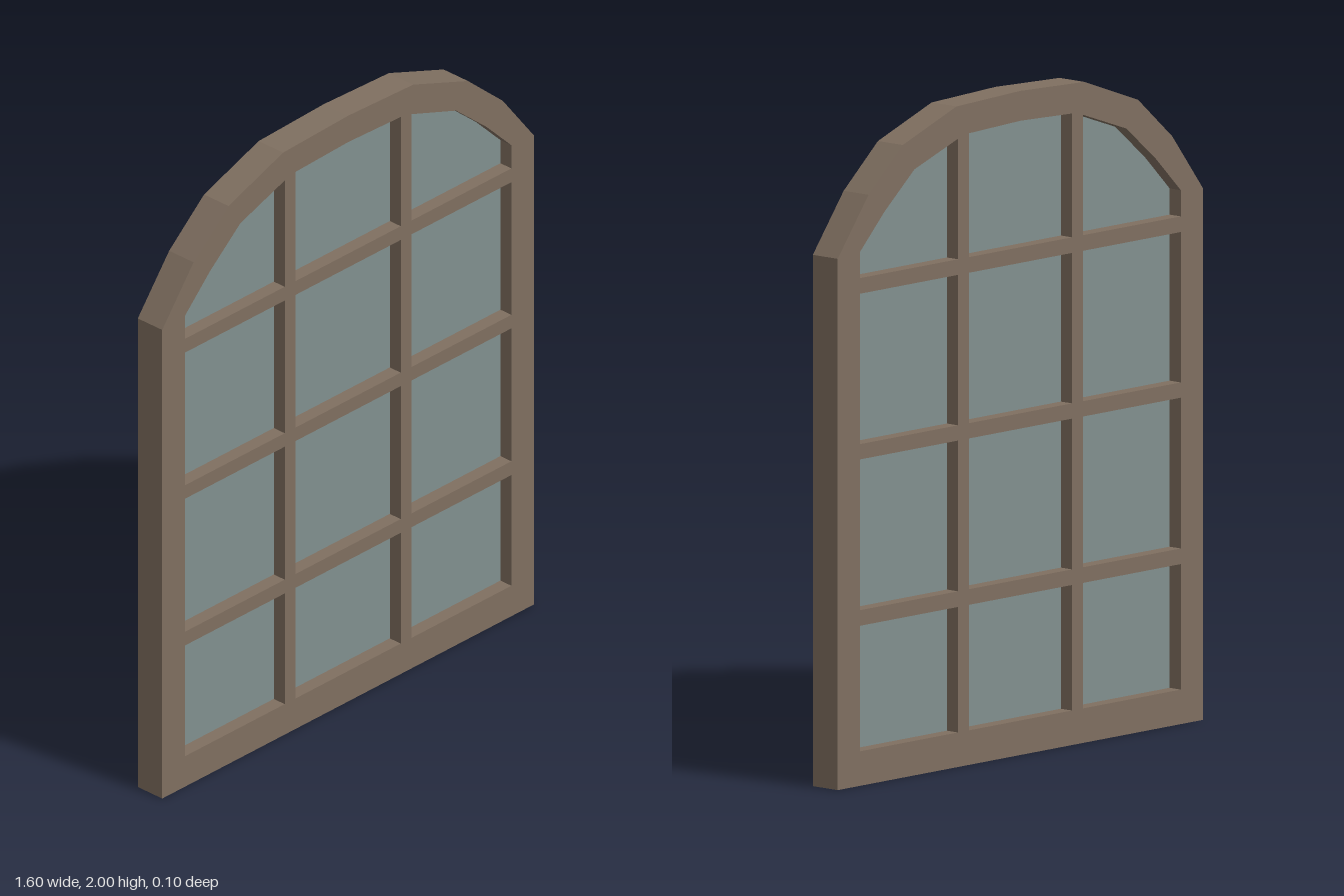
import * as THREE from 'three';

const DEPTH = 0.1;
const GLASS_DEPTH = 0.01;

// Right half of the faceted arch, from the springing point to the crown
const OUTER_ARCH = [[0.8, 1.6], [0.665, 1.775], [0.515, 1.905], [0.28, 1.99], [0, 2]];
const GLASS_ARCH = [[0.72, 1.62], [0.61, 1.73], [0.475, 1.845], [0.26, 1.92], [0, 1.93]];

const toVectors = (points) => points.map(([x, y]) => new THREE.Vector2(x, y));
const mirrorX = (points) => points.map(([x, y]) => [-x, y]).reverse();

// Symmetric arched outline with a flat bottom
function archedShape(arch, bottom) {
  const right = [[arch[0][0], bottom], ...arch];
  return new THREE.Shape(toVectors([...right, ...mirrorX(right).slice(1)]));
}

function slab(shape, depth, material, name) {
  const geometry = new THREE.ExtrudeGeometry(shape, { depth, bevelEnabled: false });
  geometry.translate(0, 0, -depth / 2);
  const mesh = new THREE.Mesh(geometry, material);
  mesh.name = name;
  return mesh;
}

export function createModel() {
  const group = new THREE.Group();
  group.name = 'archedWindow';
  const wood = new THREE.MeshStandardMaterial({ color: 0x7f6f60 });
  const glass = new THREE.MeshStandardMaterial({ color: 0x81908f });

  // Frame with glazing bars: one slab with an opening for each pane
  const frame = archedShape(OUTER_ARCH, 0);
  const addOpening = (points) => frame.holes.push(new THREE.Path(toVectors(points)));

  // Three rows of rectangular openings
  const columns = [[-0.702, -0.273], [-0.226, 0.226], [0.273, 0.702]];
  const rows = [[0.104, 0.482], [0.529, 0.983], [1.029, 1.482]];
  for (const [x0, x1] of columns) {
    for (const [y0, y1] of rows) addOpening([[x0, y0], [x1, y0], [x1, y1], [x0, y1]]);
  }

  // Top row follows the arch
  const side = [[0.273, 1.529], [0.702, 1.529], [0.702, 1.608], [0.595, 1.715], [0.464, 1.825], [0.273, 1.892]];
  addOpening(side);
  addOpening(mirrorX(side));
  addOpening([[-0.226, 1.529], [0.226, 1.529], [0.226, 1.902], [0, 1.91], [-0.226, 1.902]]);

  group.add(slab(frame, DEPTH, wood, 'frameAndGlazingBars'));

  // Thin glass sheet in the middle of the frame, tucked under its edges
  group.add(slab(archedShape(GLASS_ARCH, 0.08), GLASS_DEPTH, glass, 'glass'));

  // Arch outline has straight facets, so flat extrude normals are kept
  return group;
}
